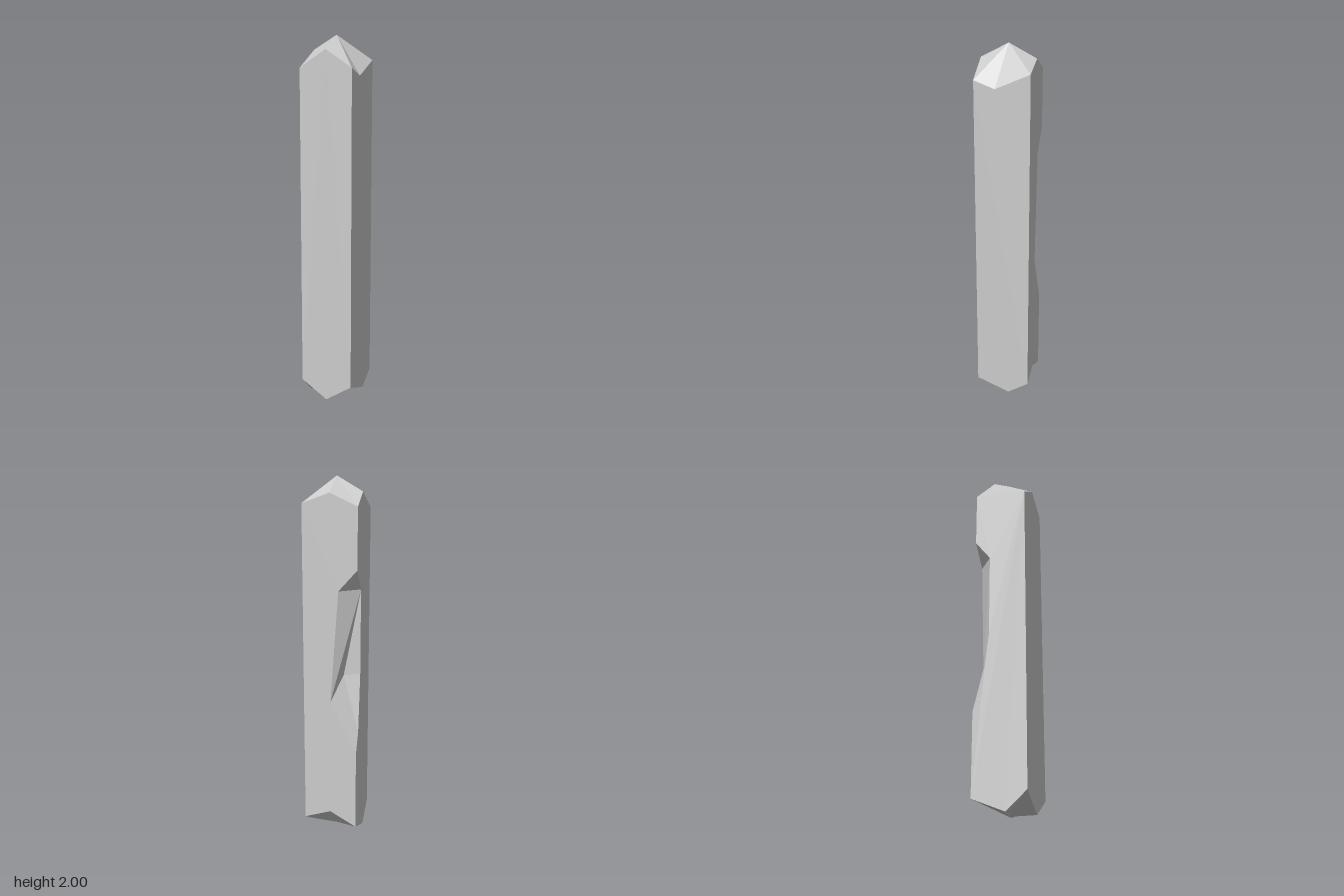
import * as THREE from 'three';

const R = 0.147;
const V = (x, y, z) => new THREE.Vector3(x, y, z);

// Flat-shaded mesh from a list of counter-clockwise triangles
function facets(name, tris) {
  const geometry = new THREE.BufferGeometry().setFromPoints(tris.flat());
  geometry.computeVertexNormals();
  const material = new THREE.MeshStandardMaterial({ color: 0xcccccc, flatShading: true });
  const mesh = new THREE.Mesh(geometry, material);
  mesh.name = name;
  return mesh;
}

// Flat polygon cut into triangles that all face along the outward direction
function wall(points, outward) {
  const flat = points.map(p => new THREE.Vector2(outward.x ? p.z : p.x, p.y));
  return THREE.ShapeUtils.triangulateShape(flat, []).map(ids => {
    const [a, b, c] = ids.map(i => points[i]);
    const normal = b.clone().sub(a).cross(c.clone().sub(a));
    return normal.dot(outward) < 0 ? [a, c, b] : [a, b, c];
  });
}

// Fan of triangles from a tip to a closed ring
function fan(tip, ring, up) {
  return ring.map((p, i) => {
    const q = ring[(i + 1) % ring.length];
    return up ? [tip, p, q] : [tip, q, p];
  });
}

// Rim: corner, side point, corner... starting front left, counter-clockwise from above
function rim(heights, slide) {
  const plan = [
    [R, R], [R, slide], [R, -R], [0, -R], [-R, -R], [-R, -slide], [-R, R], [0, R],
  ];
  return plan.map(([x, z], i) => V(x, heights[i], z));
}

export function createModel() {
  const group = new THREE.Group();
  group.name = 'crystalPillar';

  const top = rim([1.83, 1.79, 1.87, 1.925, 1.86, 1.925, 1.83, 1.925], 0.036);
  const low = rim([0.1, 0.03, 0.1, 0.152, 0.075, 0, 0.1, 0.004], -0.034);

  // Corners of the chip broken out of the back right edge
  const edgeTop = V(-R, 1.54, -R), edgeLow = V(-R, 0.524, -R);
  const sideTop = V(-R, 1.425, -0.061), sideMid = V(-R, 0.96, -0.061), sideLow = V(-R, 0.63, -0.099);
  const backTop = V(-0.046, 1.426, -R), backLow = V(-0.003, 0.815, -R);
  const pit = V(-0.054, 0.943, -0.059);

  // Shaft walls; the last two follow the outline of the chip
  const span = (...ids) => [...ids.map(i => top[i]), ...ids.reverse().map(i => low[i])];
  const back = [top[2], top[3], top[4], edgeTop, backTop, backLow, edgeLow, low[4], low[3], low[2]];
  const right = [top[6], top[5], top[4], edgeTop, sideTop, sideMid, sideLow, edgeLow, low[4], low[5], low[6]];
  group.add(facets('shaft', [
    ...wall(span(6, 7, 0), V(0, 0, 1)),
    ...wall(span(0, 1, 2), V(1, 0, 0)),
    ...wall(back, V(0, 0, -1)),
    ...wall(right, V(-1, 0, 0)),
  ]));

  // Faceted points at both ends
  group.add(facets('topPoint', fan(V(0, 2, 0), top, true)));
  group.add(facets('bottomPoint', fan(V(0, 0.005, 0), low, false)));

  // Broken faces inside the chip
  group.add(facets('edgeChip', [
    [edgeTop, backTop, sideTop],
    [sideTop, backTop, backLow],
    [sideTop, backLow, pit],
    [sideTop, pit, sideMid],
    [sideMid, pit, sideLow],
    [sideLow, pit, backLow],
    [sideLow, backLow, edgeLow],
  ]));

  return group;
}
